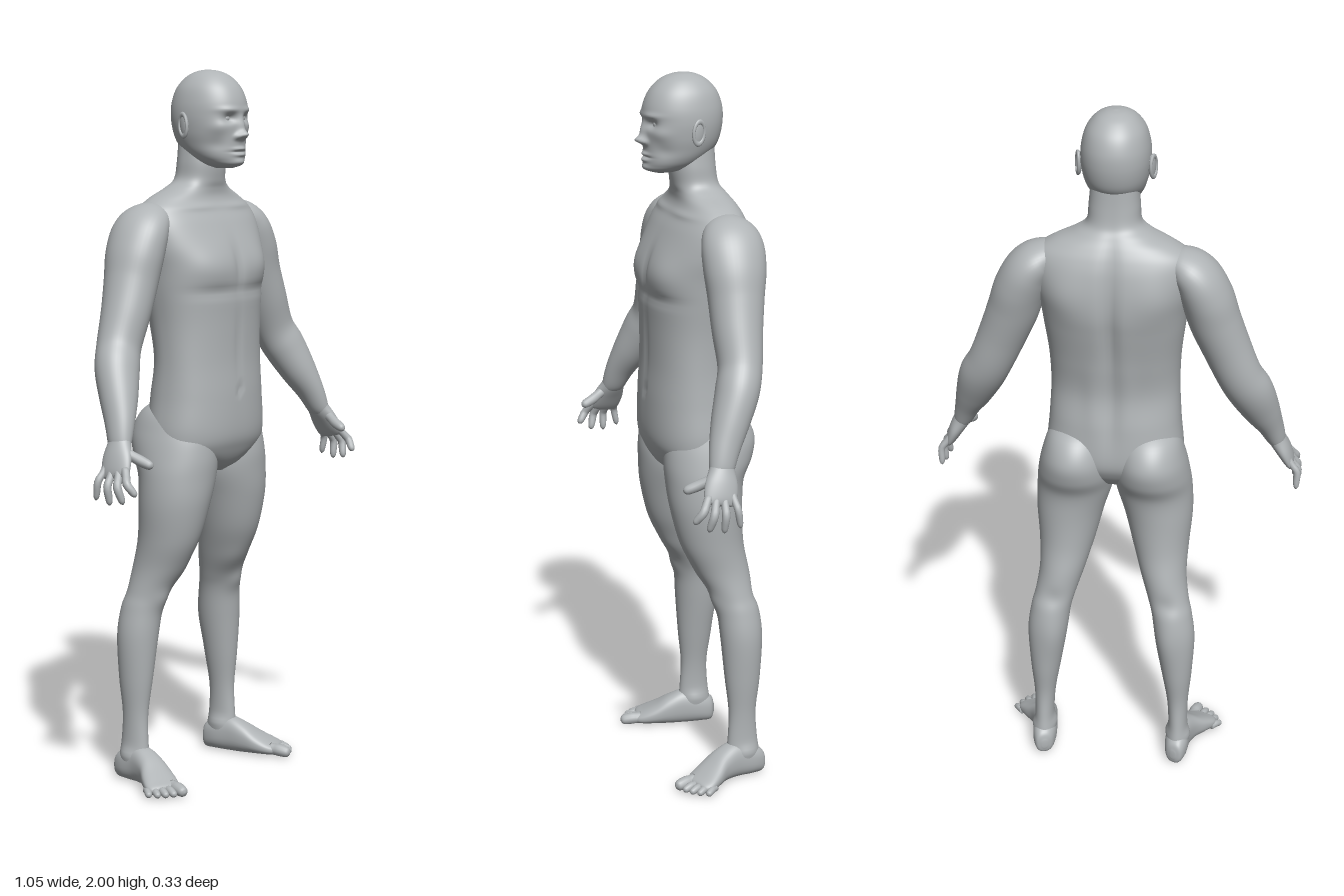
import * as THREE from 'three';

const V = (x, y, z) => new THREE.Vector3(x, y, z);
const DOWN = V(0, -1, 0), FRONT = V(0, 0, 1), UP = V(0, 1, 0);

// Smooth skin through sections [x, y, z, side radius, depth radius].
// Sections follow the path unless a fixed axis is given; bumps [x,y,z, sx,sy,sz, push] model the muscles.
function loft(rows, { front = FRONT, axis = null, bumps = [], power = 2, seg = 40, sub = 6 } = {}) {
  const path = new THREE.CatmullRomCurve3(rows.map(r => V(r[0], r[1], r[2])), false, 'catmullrom');
  const size = new THREE.CatmullRomCurve3(rows.map(r => V(r[3], r[4], 0)), false, 'catmullrom');
  const n = (rows.length - 1) * sub, pos = [], idx = [];
  const bend = v => Math.sign(v) * Math.abs(v) ** (2 / power);
  for (let i = 0; i <= n; i++) {
    const c = path.getPoint(i / n), r = size.getPoint(i / n);
    const t = axis ? axis : path.getTangent(i / n);
    const f = front.clone().addScaledVector(t, -front.dot(t)).normalize();
    const s = t.clone().cross(f);
    for (let j = 0; j < seg; j++) {
      const a = j / seg * Math.PI * 2;
      const d = s.clone().multiplyScalar(r.x * bend(Math.cos(a))).addScaledVector(f, r.y * bend(Math.sin(a)));
      const p = c.clone().add(d);
      let push = 0;
      for (const [x, y, z, sx, sy, sz, amount] of bumps)
        push += amount * Math.exp(-(((p.x - x) / sx) ** 2) - ((p.y - y) / sy) ** 2 - ((p.z - z) / sz) ** 2);
      p.addScaledVector(d.normalize(), push);
      pos.push(p.x, p.y, p.z);
      if (i < n) {
        const k = i * seg + j, m = i * seg + (j + 1) % seg;
        idx.push(k, k + seg, m, m, k + seg, m + seg);
      }
    }
  }
  // end caps
  const first = path.getPoint(0), last = path.getPoint(1), e = (n + 1) * seg;
  pos.push(first.x, first.y, first.z, last.x, last.y, last.z);
  for (let j = 0; j < seg; j++) {
    const k = (j + 1) % seg;
    idx.push(e, j, k, e + 1, n * seg + k, n * seg + j);
  }
  const g = new THREE.BufferGeometry();
  g.setAttribute('position', new THREE.Float32BufferAttribute(pos, 3));
  g.setIndex(idx);
  g.computeVertexNormals();
  return g;
}

// Level sections given as [y, x, half width, front z, back z]
const level = rows => rows.map(([y, x, w, zf, zb]) => [x, y, (zf + zb) / 2, w, (zf - zb) / 2]);

// Repeat off-centre bumps on the other side
const both = bumps => bumps.flatMap(b => b[0] ? [b, [-b[0], ...b.slice(1)]] : [b]);

function mirrored(geometry) {
  const g = geometry.clone().scale(-1, 1, 1), a = g.index.array;
  for (let i = 0; i < a.length; i += 3) [a[i], a[i + 1]] = [a[i + 1], a[i]];
  return g;
}

// Rounded finger or toe through three points
function digit(a, b, c, r, front = FRONT) {
  const at = (p, q, t) => p.map((v, i) => v + (q[i] - v) * t);
  return loft([[...a, r, r], [...at(a, b, 0.5), r * 0.95, r * 0.95], [...b, r, r], [...at(b, c, 0.6), r * 0.9, r * 0.9],
    [...at(b, c, 0.88), r * 0.65, r * 0.65], [...c, r * 0.12, r * 0.12]], { front, seg: 14, sub: 3 });
}

export function createModel() {
  const model = new THREE.Group();
  const skin = new THREE.MeshStandardMaterial({ color: 0xb0b4b6 });
  skin.name = 'grey skin';
  const add = (name, geometry) => {
    const mesh = new THREE.Mesh(geometry, skin);
    mesh.name = name;
    model.add(mesh);
  };
  const addPair = (name, geometry) => {
    add('left ' + name, geometry);
    add('right ' + name, mirrored(geometry));
  };

  // Head with brow, eye sockets, nose, lips and chin
  add('head', loft(level([
    [2.0, 0, 0.004, 0.006, -0.002], [1.995, 0, 0.03, 0.038, -0.03], [1.98, 0, 0.056, 0.07, -0.06],
    [1.95, 0, 0.079, 0.099, -0.088], [1.91, 0, 0.091, 0.116, -0.103], [1.87, 0, 0.094, 0.118, -0.105],
    [1.83, 0, 0.09, 0.116, -0.098], [1.8, 0, 0.083, 0.115, -0.085], [1.775, 0, 0.075, 0.115, -0.06],
    [1.755, 0, 0.063, 0.114, -0.035], [1.74, 0, 0.045, 0.108, 0], [1.731, 0, 0.016, 0.085, 0.03],
  ]), {
    axis: DOWN, seg: 128, sub: 10, power: 2.1, bumps: both([
      [0, 1.842, 0.118, 0.013, 0.026, 0.05, 0.011], [0, 1.822, 0.118, 0.013, 0.011, 0.05, 0.021],
      [0.016, 1.817, 0.115, 0.009, 0.008, 0.05, 0.008], [0.035, 1.867, 0.105, 0.019, 0.012, 0.05, -0.013],
      [0.035, 1.89, 0.1, 0.028, 0.008, 0.05, 0.005], [0, 1.784, 0.115, 0.022, 0.005, 0.05, 0.007],
      [0, 1.768, 0.115, 0.02, 0.006, 0.05, 0.008], [0, 1.776, 0.115, 0.026, 0.0025, 0.05, -0.005],
      [0, 1.747, 0.115, 0.022, 0.012, 0.05, 0.008], [0.06, 1.842, 0.085, 0.022, 0.018, 0.04, 0.005],
      [0.06, 1.795, 0.07, 0.018, 0.02, 0.04, -0.004],
    ]),
  }));

  // Eyes and ears
  addPair('eye', new THREE.SphereGeometry(0.0125, 20, 14).translate(0.034, 1.867, 0.089));
  const place = g => g.rotateX(-0.12).rotateY(0.3).translate(0.097, 1.848, -0.004);
  addPair('ear', place(new THREE.SphereGeometry(1, 20, 16).scale(0.007, 0.034, 0.019)));
  addPair('ear rim', place(new THREE.TorusGeometry(0.018, 0.0045, 10, 28).rotateY(Math.PI / 2).scale(1, 1.65, 1).translate(0.004, 0, 0)));

  // Neck and trunk
  add('torso', loft(level([
    [1.82, 0, 0.062, 0.03, -0.08], [1.75, 0, 0.069, 0.04, -0.084], [1.7, 0, 0.075, 0.036, -0.092],
    [1.675, 0, 0.108, 0.031, -0.108], [1.65, 0, 0.165, 0.032, -0.125], [1.62, 0, 0.208, 0.046, -0.14],
    [1.58, 0, 0.222, 0.07, -0.152], [1.52, 0, 0.216, 0.098, -0.16], [1.46, 0, 0.203, 0.114, -0.16],
    [1.4, 0, 0.195, 0.116, -0.15], [1.3, 0, 0.183, 0.113, -0.128], [1.2, 0, 0.18, 0.113, -0.112],
    [1.1, 0, 0.185, 0.119, -0.126], [1.0, 0, 0.193, 0.119, -0.132], [0.95, 0, 0.178, 0.105, -0.115],
    [0.91, 0, 0.1, 0.082, -0.08], [0.885, 0, 0.025, 0.05, -0.04],
  ]), {
    axis: DOWN, seg: 112, sub: 7, power: 2.3, bumps: both([
      [0.095, 1.465, 0.1, 0.075, 0.055, 0.06, 0.012], [0.09, 1.395, 0.11, 0.09, 0.015, 0.06, -0.006],
      [0, 1.47, 0.12, 0.015, 0.06, 0.05, -0.008], [0, 1.42, -0.15, 0.022, 0.22, 0.06, -0.018],
      [0, 1.13, -0.12, 0.025, 0.1, 0.06, -0.006], [0.12, 1.52, -0.15, 0.06, 0.07, 0.06, 0.01],
      [0.045, 1.2, -0.11, 0.03, 0.12, 0.05, 0.006], [0, 1.25, 0.11, 0.012, 0.1, 0.05, -0.004],
      [0, 1.12, 0.118, 0.008, 0.01, 0.04, -0.008], [0.09, 1.625, 0.03, 0.07, 0.009, 0.05, 0.005],
    ]),
  }));

  // Arms, shoulder to wrist
  addPair('arm', loft([
    [0.14, 1.61, -0.06, 0.02, 0.03], [0.185, 1.595, -0.056, 0.048, 0.07], [0.225, 1.56, -0.054, 0.064, 0.086],
    [0.254, 1.5, -0.05, 0.071, 0.086], [0.276, 1.43, -0.045, 0.071, 0.077], [0.307, 1.35, -0.037, 0.067, 0.069],
    [0.345, 1.26, -0.03, 0.063, 0.06], [0.376, 1.2, -0.01, 0.064, 0.059], [0.405, 1.13, 0.02, 0.053, 0.052],
    [0.43, 1.07, 0.045, 0.038, 0.043], [0.448, 1.02, 0.06, 0.028, 0.035], [0.456, 1.0, 0.063, 0.02, 0.03],
  ]));

  // Hands
  addPair('palm', loft([
    [0.44, 1.04, 0.056, 0.024, 0.032], [0.451, 1.015, 0.061, 0.025, 0.035], [0.469, 0.982, 0.069, 0.022, 0.045],
    [0.484, 0.95, 0.077, 0.017, 0.046], [0.491, 0.933, 0.08, 0.011, 0.04], [0.493, 0.928, 0.081, 0.003, 0.02],
  ]));
  [
    ['index finger', [0.484, 0.955, 0.11], [0.505, 0.92, 0.133], [0.495, 0.888, 0.156], 0.0115],
    ['middle finger', [0.487, 0.95, 0.09], [0.511, 0.909, 0.105], [0.502, 0.864, 0.117], 0.0115],
    ['ring finger', [0.487, 0.95, 0.068], [0.514, 0.908, 0.073], [0.508, 0.858, 0.076], 0.011],
    ['little finger', [0.484, 0.958, 0.046], [0.513, 0.918, 0.039], [0.512, 0.868, 0.031], 0.01],
  ].forEach(([name, ...shape]) => addPair(name, digit(...shape)));
  addPair('thumb', digit([0.46, 0.995, 0.09], [0.445, 0.975, 0.128], [0.436, 0.96, 0.164], 0.0145, UP));

  // Legs, buttock to ankle
  addPair('leg', loft(level([
    [1.1, 0.105, 0.03, 0.03, -0.06], [1.06, 0.105, 0.075, 0.06, -0.13], [1.0, 0.106, 0.096, 0.087, -0.164],
    [0.94, 0.108, 0.107, 0.096, -0.156], [0.88, 0.114, 0.108, 0.094, -0.128], [0.8, 0.127, 0.097, 0.085, -0.12],
    [0.7, 0.136, 0.08, 0.06, -0.122], [0.62, 0.147, 0.066, 0.02, -0.135], [0.55, 0.163, 0.059, -0.02, -0.145],
    [0.5, 0.176, 0.058, -0.035, -0.156], [0.42, 0.187, 0.057, -0.043, -0.162], [0.3, 0.194, 0.044, -0.053, -0.155],
    [0.2, 0.198, 0.031, -0.063, -0.143], [0.12, 0.2, 0.028, -0.06, -0.147], [0.06, 0.2, 0.033, -0.055, -0.155],
    [0.03, 0.2, 0.03, -0.06, -0.15],
  ]), {
    axis: DOWN, seg: 64, bumps: [
      [0.168, 0.53, -0.035, 0.03, 0.03, 0.04, 0.008], [0.165, 0.42, -0.15, 0.03, 0.07, 0.05, 0.006],
      [0.12, 0.62, -0.02, 0.03, 0.05, 0.05, 0.007], [0.165, 0.545, -0.145, 0.03, 0.03, 0.03, -0.006],
      [0.17, 0.085, -0.1, 0.015, 0.016, 0.03, 0.006], [0.23, 0.078, -0.11, 0.015, 0.016, 0.03, 0.006],
    ],
  }));

  // Feet, heel to ball
  addPair('foot', loft([
    [0.192, 0.035, -0.167, 0.008, 0.012], [0.194, 0.037, -0.158, 0.026, 0.035], [0.198, 0.046, -0.125, 0.036, 0.046],
    [0.204, 0.052, -0.075, 0.036, 0.052], [0.216, 0.044, -0.03, 0.041, 0.044], [0.235, 0.031, 0.008, 0.05, 0.031],
    [0.253, 0.021, 0.04, 0.052, 0.021], [0.262, 0.017, 0.06, 0.042, 0.014], [0.264, 0.016, 0.066, 0.02, 0.005],
  ], { front: UP, axis: V(0.35, 0, 0.94).normalize(), power: 2.4 }));
  [
    ['big toe', [0.23, 0.02, 0.055], [0.236, 0.019, 0.083], [0.245, 0.014, 0.116], 0.0175],
    ['second toe', [0.253, 0.018, 0.052], [0.262, 0.018, 0.077], [0.27, 0.01, 0.102], 0.0115],
    ['third toe', [0.269, 0.017, 0.043], [0.279, 0.017, 0.065], [0.289, 0.01, 0.088], 0.011],
    ['fourth toe', [0.282, 0.016, 0.03], [0.293, 0.016, 0.05], [0.304, 0.009, 0.07], 0.0105],
    ['little toe', [0.29, 0.015, 0.014], [0.303, 0.015, 0.03], [0.317, 0.009, 0.047], 0.0105],
  ].forEach(([name, ...shape]) => addPair(name, digit(...shape, UP)));

  return model;
}
